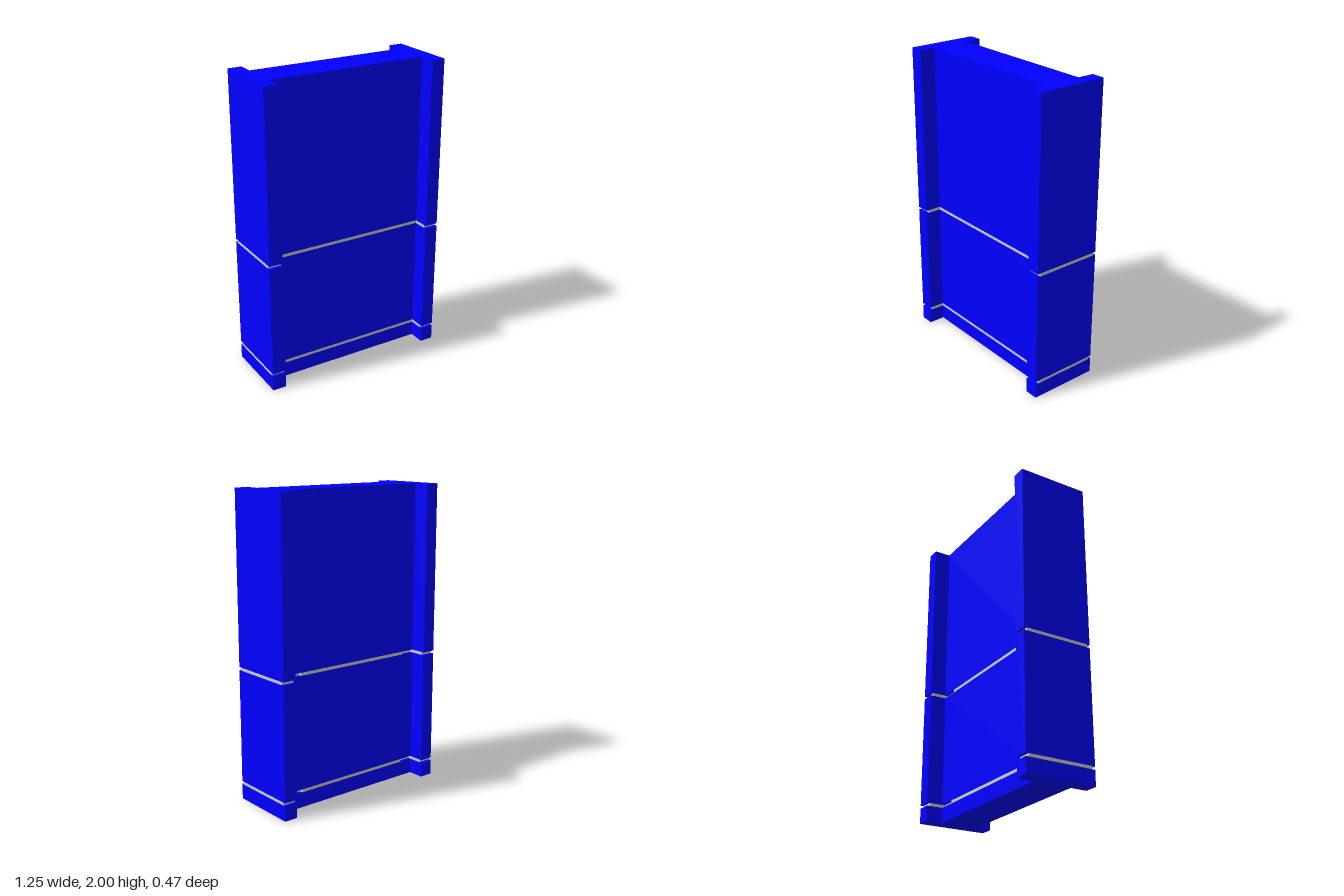
import * as THREE from 'three';

const W = 0.625;   // outer half width
const I = 0.535;   // inner edge of the flanges
const D = 0.235;   // flange half depth
const T = 0.125;   // web half thickness
const R = 0.02;    // joint recess

// Extrude a plan outline of [x, z] points from y0 to y1
function slab(name, outline, y0, y1, material) {
  const shape = new THREE.Shape(outline.map(([x, z]) => new THREE.Vector2(x, -z)));
  const geometry = new THREE.ExtrudeGeometry(shape, { depth: y1 - y0, bevelEnabled: false });
  geometry.rotateX(-Math.PI / 2);
  geometry.translate(0, y0, 0);
  const mesh = new THREE.Mesh(geometry, material);
  mesh.name = name;
  return mesh;
}

export function createModel() {
  const group = new THREE.Group();
  group.name = 'wallPanel';
  const blue = new THREE.MeshStandardMaterial({ color: 0x0000ff });
  const grey = new THREE.MeshStandardMaterial({ color: 0xcccccc });

  // H-shaped plan of the blocks
  const block = [
    [-W, D], [-I, D], [-I, T], [I, T], [I, D], [W, D],
    [W, -D], [I, -D], [I, -T], [-I, -T], [-I, -D], [-W, -D],
  ];

  // Joint plan: flange ends set back, web set back near the rear corners
  const d = D - R, t = T - R;
  const joint = [
    [-W, d], [-I, d], [-I, T], [I, T], [I, d], [W, d],
    [W, -d], [I, -d], [I, -t], [0.41, -t], [0.41, -T],
    [-0.44, -T], [-0.44, -t], [-I, -t], [-I, -d], [-W, -d],
  ];

  // Blocks stacked with thin joints between them
  group.add(slab('baseBlock', block, 0, 0.1, blue));
  group.add(slab('lowerJoint', joint, 0.1, 0.12, grey));
  group.add(slab('lowerBlock', block, 0.12, 0.865, blue));
  group.add(slab('upperJoint', joint, 0.865, 0.885, grey));
  group.add(slab('upperBlock', block, 0.885, 2, blue));
  return group;
}
